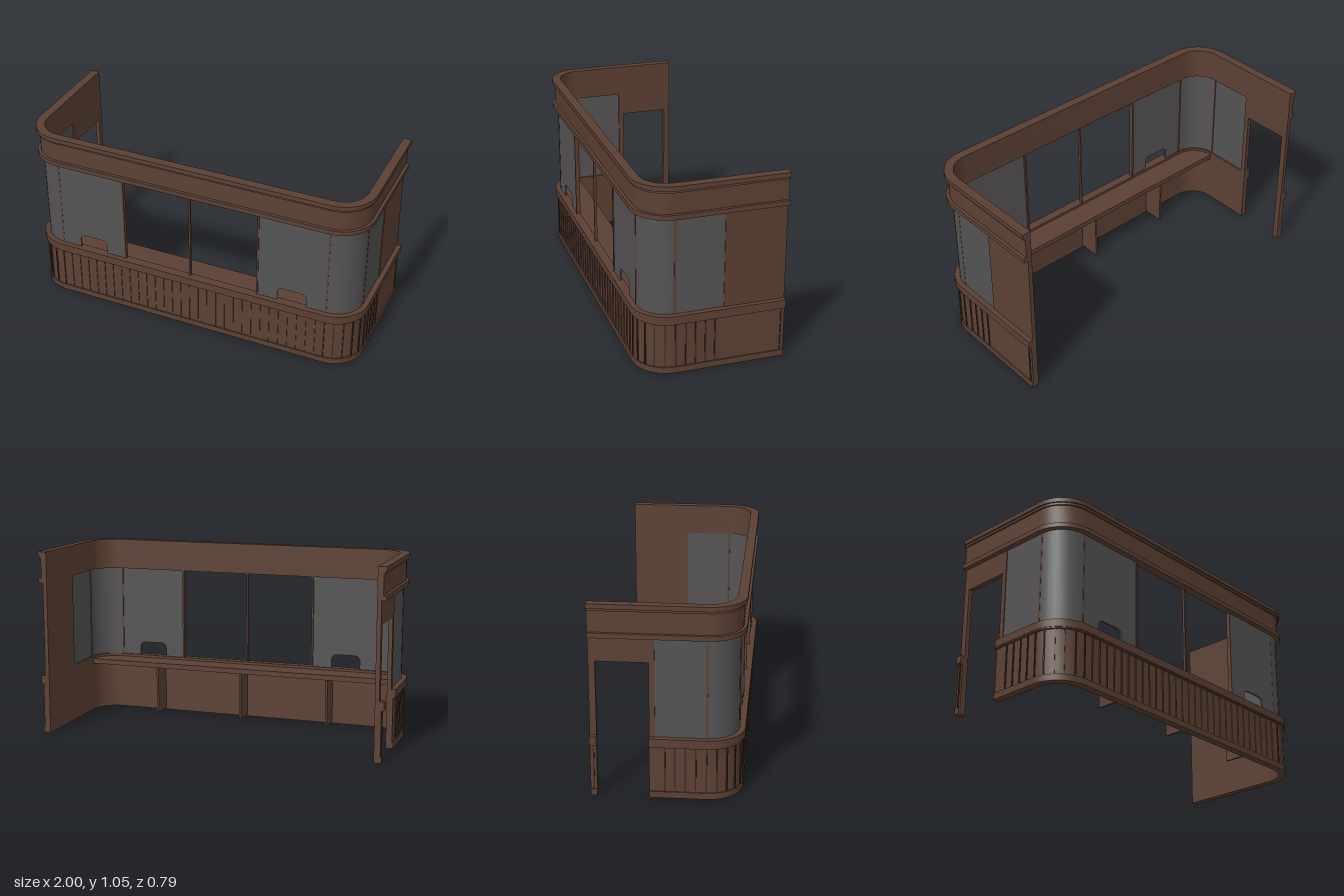
import * as THREE from 'three';
import { toCreasedNormals } from 'three/addons/utils/BufferGeometryUtils.js';

const R = 0.19, CX = 0.81, CZ = 0.205, BACK = -0.395, SEG = 8;
const DOOR_FRONT = -0.09, DOOR_BACK = -0.36, GLASS_BACK = -0.06;

export function createModel() {
  const group = new THREE.Group();
  const paint = (name, color) => {
    const m = new THREE.MeshStandardMaterial({ color });
    m.name = name;
    return m;
  };
  const wood = paint('brown wood', 0x5c4033);
  const groove = paint('dark wood', 0x3a2a22);
  const glass = paint('smoked glass', 0x555353);

  const add = (name, geo, mat) => {
    const mesh = new THREE.Mesh(geo, mat);
    mesh.name = name;
    group.add(mesh);
    return mesh;
  };
  const box = (name, x0, x1, y0, y1, z0, z1, mat = wood) =>
    add(name, new THREE.BoxGeometry(x1 - x0, y1 - y0, z1 - z0), mat)
      .position.set((x0 + x1) / 2, (y0 + y1) / 2, (z0 + z1) / 2);

  // Plan path: points on the inner skeleton with their outward normals
  const side = (s, z) => ({ x: s * CX, z, nx: s, nz: 0 });
  const corner = (s) => Array.from({ length: SEG + 1 }, (_, i) => {
    const a = (i / SEG) * Math.PI / 2;
    return { x: s * CX, z: CZ, nx: s * Math.cos(a), nz: Math.sin(a) };
  });
  const uPath = (zPlus, zMinus) =>
    [side(1, zPlus), ...corner(1), ...corner(-1).reverse(), side(-1, zMinus)];

  // Wall band that follows a path; outer and inner are depths behind the outermost line
  const band = (name, path, y0, y1, outer, inner, mat = wood) => {
    const at = (p, d) => new THREE.Vector2(p.x + p.nx * (R - d), -(p.z + p.nz * (R - d)));
    const shape = new THREE.Shape([
      ...path.map((p) => at(p, outer)),
      ...path.map((p) => at(p, inner)).reverse(),
    ]);
    const geo = new THREE.ExtrudeGeometry(shape, { depth: y1 - y0, bevelEnabled: false });
    geo.rotateX(-Math.PI / 2).translate(0, y0, 0);
    add(name, toCreasedNormals(geo, 0.4), mat);
  };

  // Lower wall, interrupted by the doorway, and the post behind the doorway
  const lower = uPath(BACK, DOOR_FRONT);
  const post = [side(-1, DOOR_BACK), side(-1, BACK)];
  for (const [part, path] of [['wall', lower], ['doorPost', post]]) {
    band(part + 'Skirting', path, 0, 0.035, 0.008, 0.05);
    band(part + 'Panel', path, 0.035, 0.285, 0.015, 0.05);
    band(part + 'LedgeMoulding', path, 0.285, 0.292, 0.003, 0.05);
    band(part + 'Ledge', path, 0.292, 0.335, 0, 0.05);
  }

  // Upper fascia running over everything
  const full = uPath(BACK, BACK);
  band('fasciaBelt', full, 0.872, 0.898, 0, 0.05);
  band('fascia', full, 0.898, 1.012, 0.017, 0.05);
  band('corniceStep', full, 1.012, 1.025, 0.008, 0.05);
  band('cornice', full, 1.025, 1.05, 0, 0.05);

  // Solid wall at the rear of each side, with the doorway on one
  band('sideWall', [side(1, BACK), side(1, GLASS_BACK)], 0.335, 0.872, 0.026, 0.05);
  band('doorPostUpper', post, 0.335, 0.872, 0.026, 0.05);
  band('doorLintel', [side(-1, DOOR_FRONT), side(-1, DOOR_BACK)], 0.74, 0.872, 0.026, 0.05);
  band('doorJamb', [side(-1, GLASS_BACK), side(-1, DOOR_FRONT)], 0.335, 0.872, 0.026, 0.05);

  const frontZ = CZ + R - 0.03;
  for (const s of [1, -1]) {
    // Side and curved corner glazing
    band('sideGlass', [side(s, GLASS_BACK), side(s, CZ)], 0.335, 0.872, 0.03, 0.04, glass);
    band('cornerGlass', corner(s), 0.335, 0.872, 0.03, 0.04, glass);
    band('sideMullion', [side(s, CZ - 0.005), side(s, CZ + 0.005)], 0.335, 0.872, 0.029, 0.045);

    // Front pane with a rounded service hatch in its lower edge
    const h0 = 0.525, h1 = 0.695, top = 0.415, r = 0.035;
    const pane = new THREE.Shape();
    pane.moveTo(0.405, 0.335);
    pane.lineTo(h0, 0.335);
    pane.lineTo(h0, top - r);
    pane.quadraticCurveTo(h0, top, h0 + r, top);
    pane.lineTo(h1 - r, top);
    pane.quadraticCurveTo(h1, top, h1, top - r);
    pane.lineTo(h1, 0.335);
    pane.lineTo(CX, 0.335);
    pane.lineTo(CX, 0.872);
    pane.lineTo(0.405, 0.872);
    const geo = new THREE.ExtrudeGeometry(pane, { depth: 0.01, bevelEnabled: false });
    geo.translate(0, 0, frontZ - 0.01);
    if (s < 0) geo.rotateY(Math.PI).translate(0, 0, 2 * frontZ - 0.01);
    add('frontGlass', geo, glass);

    box('frontMullion', s * CX - 0.004, s * CX + 0.004, 0.335, 0.872, frontZ - 0.015, frontZ + 0.001);
    box('windowJamb', s * 0.407 - 0.005, s * 0.407 + 0.005, 0.335, 0.872, frontZ - 0.02, frontZ + 0.004);
  }
  box('centrePost', -0.005, 0.005, 0.335, 0.872, frontZ - 0.015, frontZ);

  // Vertical ribs on the lower panels
  const rib = (p, mat) => {
    const d = R - 0.014;
    const mesh = add('panelRib', new THREE.BoxGeometry(0.007, 0.25, 0.007), mat);
    mesh.position.set(p.x + p.nx * d, 0.16, p.z + p.nz * d);
    mesh.rotation.y = Math.atan2(p.nx, p.nz);
  };
  for (const s of [1, -1]) {
    for (let i = 0; i < 4; i++) rib(side(s, -0.01 + i * 0.053), groove);
    rib(side(s, -0.376), groove);
    for (let i = 0; i <= 5; i++) {
      const a = (i / 5) * Math.PI / 2;
      rib({ x: s * CX, z: CZ, nx: s * Math.cos(a), nz: Math.sin(a) }, groove);
    }
  }
  for (let i = 1; i < 30; i++) rib({ x: -CX + i * 0.054, z: CZ, nx: 0, nz: 1 }, wood);

  // Counter inside, fitted to the rounded corners, on three supports
  const edge = [...corner(1), ...corner(-1).reverse()]
    .map((p) => new THREE.Vector2(p.x + p.nx * (R - 0.05), -(p.z + p.nz * (R - 0.05))));
  const counter = new THREE.ExtrudeGeometry(new THREE.Shape(edge), { depth: 0.03, bevelEnabled: false });
  counter.rotateX(-Math.PI / 2).translate(0, 0.29, 0);
  add('counter', toCreasedNormals(counter, 0.4), wood);
  for (const x of [-0.53, 0, 0.53]) box('counterSupport', x - 0.006, x + 0.006, 0.01, 0.29, 0.22, 0.346);

  return group;
}
